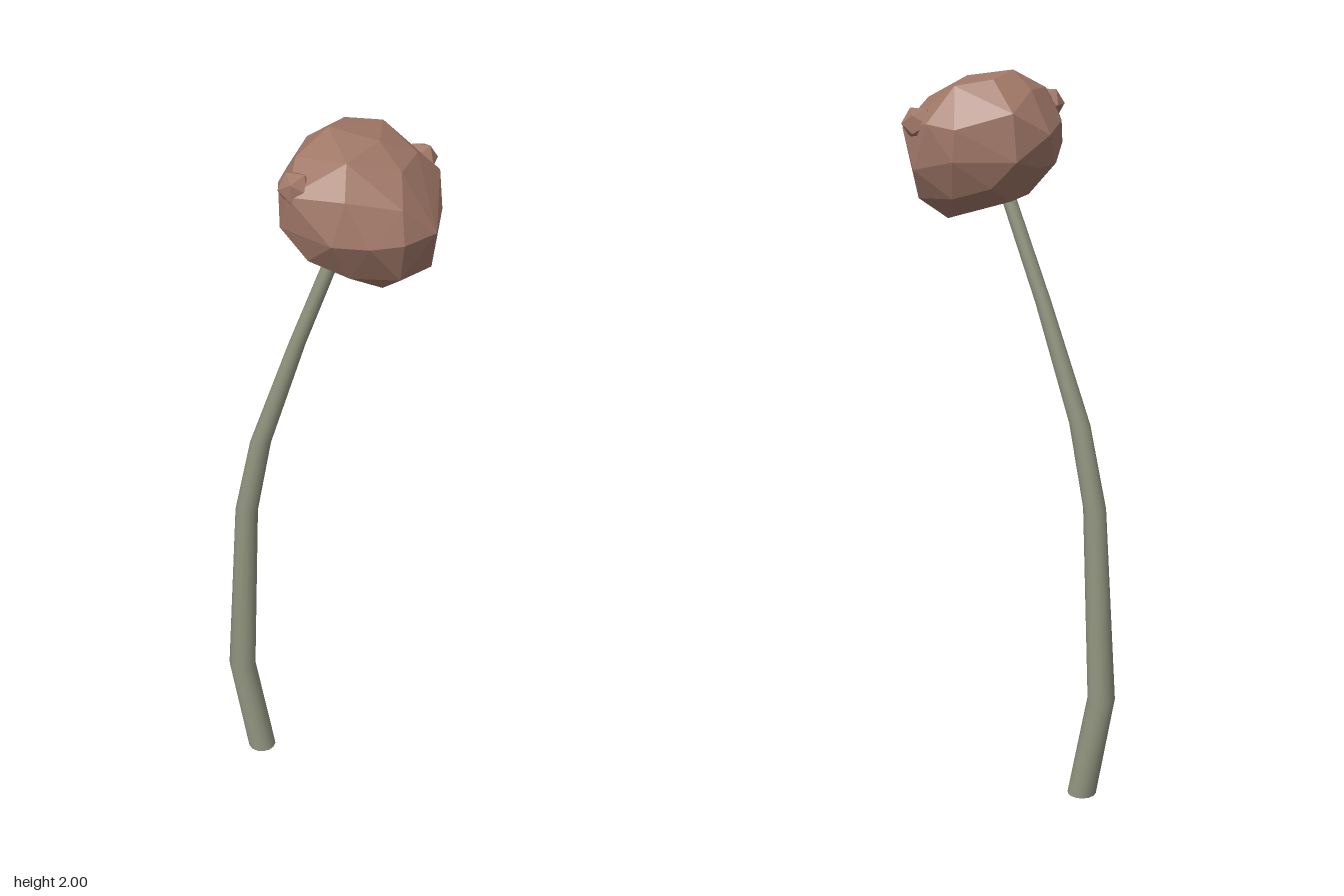
import * as THREE from 'three';
import { ConvexGeometry } from 'three/addons/geometries/ConvexGeometry.js';
import { toCreasedNormals } from 'three/addons/utils/BufferGeometryUtils.js';

// Bent trunk stations from the top down: x, y, radius
const TRUNK = [
  [0.07, 1.8, 0.019], [0.02, 1.66, 0.02], [-0.075, 1.4, 0.022], [-0.18, 1.08, 0.028],
  [-0.225, 0.85, 0.031], [-0.252, 0.3, 0.038], [-0.198, 0, 0.04],
];

// Corners of the faceted crown, in tiers from top to bottom
const CROWN = [
  [0.003, 2, 0], [0.13, 1.98, 0], [0.014, 1.985, -0.1], [0.1, 1.97, -0.145], [0.085, 1.97, 0.125],
  [-0.054, 1.95, 0.08], [-0.06, 1.955, -0.03], [0.207, 1.93, -0.07], [0.2, 1.93, 0.05],
  [-0.06, 1.91, -0.15], [0.073, 1.87, -0.208], [0.153, 1.88, -0.2], [0.248, 1.86, -0.14],
  [-0.045, 1.89, 0.178], [0.1, 1.9, 0.19], [0.225, 1.87, 0.13],
  [-0.123, 1.85, -0.06], [-0.104, 1.87, 0.066], [-0.07, 1.8, 0.16], [0.073, 1.79, 0.209],
  [0.164, 1.79, 0.196], [0.237, 1.79, 0.153], [0.293, 1.79, 0.063], [0.278, 1.8, -0.05],
  [0.2, 1.76, -0.18], [0.08, 1.79, -0.208], [-0.07, 1.79, -0.15],
  [-0.1, 1.765, 0.04], [-0.095, 1.765, -0.06], [0, 1.72, 0.16], [0, 1.72, -0.15],
  [0.1, 1.68, 0.145], [0.1, 1.69, -0.165], [0.22, 1.68, 0.12], [0.21, 1.68, -0.13],
  [-0.016, 1.675, 0.06], [-0.016, 1.675, -0.06], [0.16, 1.62, 0.06], [0.16, 1.62, -0.06],
  [0.272, 1.676, 0.02],
];

function createTrunk(material) {
  const sections = TRUNK.length - 1;
  const geometry = new THREE.CylinderGeometry(1, 1, 1, 14, sections);
  const pos = geometry.attributes.position;
  // Move each row of the cylinder to its station
  for (let i = 0; i < pos.count; i++) {
    const [x, y, r] = TRUNK[Math.round((0.5 - pos.getY(i)) * sections)];
    pos.setXYZ(i, x + pos.getX(i) * r, y, 0.02 + pos.getZ(i) * r);
  }
  const mesh = new THREE.Mesh(toCreasedNormals(geometry, 0.6), material);
  mesh.name = 'trunk';
  return mesh;
}

export function createModel() {
  const bark = new THREE.MeshStandardMaterial({ color: 0x91957f });
  const leaves = new THREE.MeshStandardMaterial({ color: 0xa17868, flatShading: true });
  const tree = new THREE.Group();
  tree.name = 'tree';
  tree.add(createTrunk(bark));

  // Crown with small knobs breaking through the facets
  const crown = new THREE.Group();
  crown.name = 'crown';
  const points = CROWN.map((p) => new THREE.Vector3(...p));
  const foliage = new THREE.Mesh(new ConvexGeometry(points), leaves);
  foliage.name = 'foliage';
  crown.add(foliage);
  for (const [x, y, z, r] of [[-0.035, 1.9, 0.145, 0.044], [0.195, 1.875, -0.155, 0.044]]) {
    const knob = new THREE.Mesh(new THREE.IcosahedronGeometry(r, 0), leaves);
    knob.position.set(x, y, z);
    knob.name = 'foliageKnob';
    crown.add(knob);
  }
  tree.add(crown);
  return tree;
}
